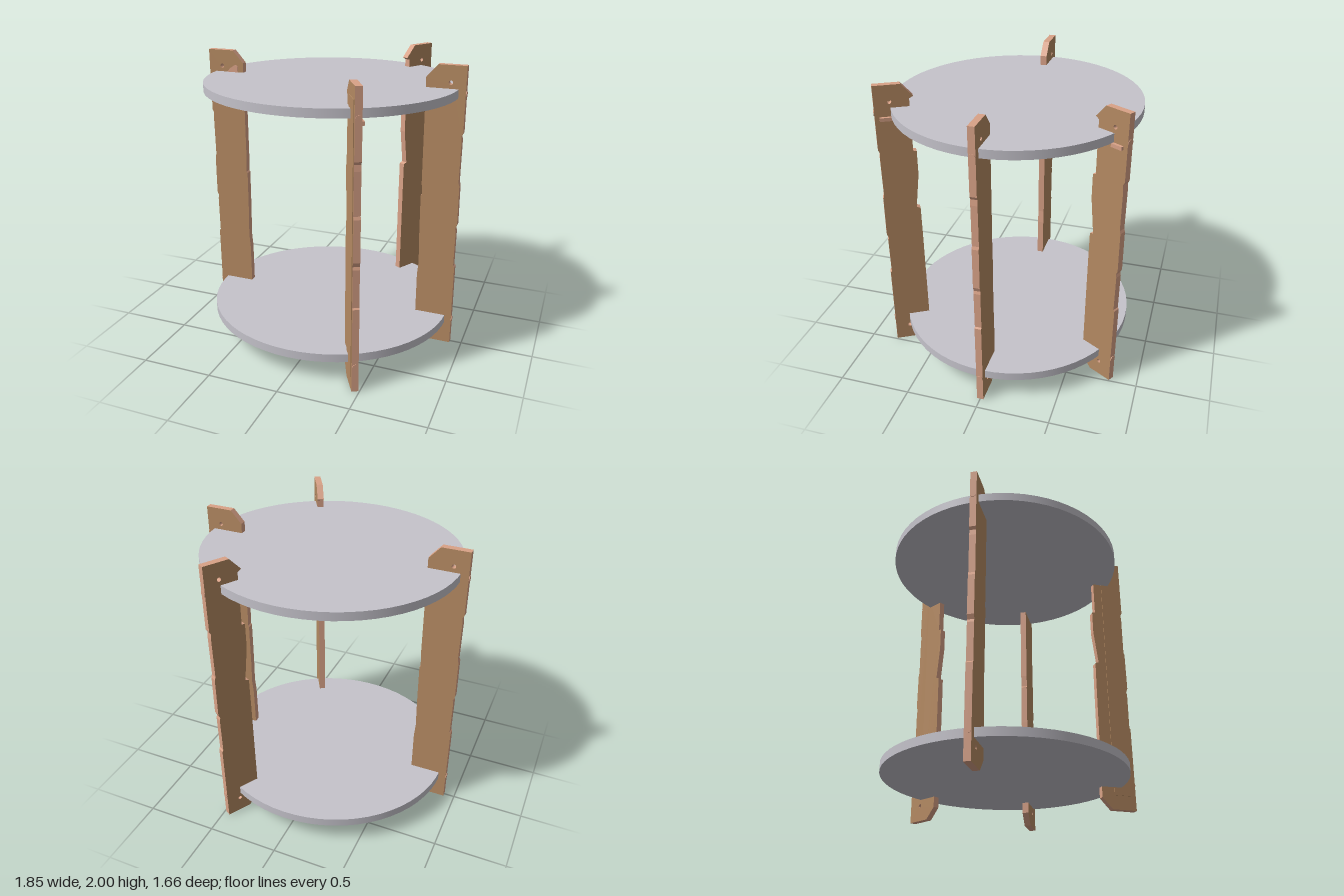
import * as THREE from 'three';

const woodFace = new THREE.MeshStandardMaterial({ color: 0xb58a62 });
woodFace.name = 'wood face';
const woodEdge = new THREE.MeshStandardMaterial({ color: 0xd9a287 });
woodEdge.name = 'cut wood edge';
const shelfGrey = new THREE.MeshStandardMaterial({ color: 0xc5c3cb });
shelfGrey.name = 'shelf grey';

const THICK = 0.045;

function add(parent, name, geometry, material, x = 0, y = 0, z = 0) {
  const mesh = new THREE.Mesh(geometry, material);
  mesh.name = name;
  mesh.position.set(x, y, z);
  parent.add(mesh);
  return mesh;
}

// Upright board: radial profile with clipped inner corners, nicked edges and two holes
function plankGeometry(inner, outer, innerNicks, outerNicks) {
  const s = new THREE.Shape();
  s.moveTo(inner + 0.075, 0);
  s.lineTo(outer, 0);
  outerNicks.forEach(([y, d]) => s.lineTo(outer - d, y));
  s.lineTo(outer, 2);
  s.lineTo(inner + 0.075, 2);
  s.lineTo(inner, 1.915);
  innerNicks.forEach(([y, d]) => s.lineTo(inner + d, y));
  s.lineTo(inner, 0.08);
  s.closePath();
  for (const y of [0.112, 1.888]) {
    const hole = new THREE.Path();
    hole.absarc(outer - 0.1, y, 0.014, 0, Math.PI * 2, true);
    s.holes.push(hole);
  }
  const g = new THREE.ExtrudeGeometry(s, { depth: THICK, bevelEnabled: false, curveSegments: 8 });
  return g.translate(0, 0, -THICK / 2);
}

// Heights go upward on the outer edge and downward on the inner edge
const outerNicks = [[0.6, 0], [0.61, 0.008], [0.87, 0.006], [0.89, 0.012], [0.92, 0],
  [1.2, 0.002], [1.22, 0.009], [1.5, 0.007], [1.54, 0.011], [1.56, 0]];
const lightNicks = [[1.2, 0.003], [1.11, 0.008], [1.1, 0], [0.8, 0.003], [0.6, 0.008], [0.5, 0]];
const deepNicks = [[1.9, 0.026], [1.535, 0.026], [1.53, 0.003], [1.36, 0.003], [1.11, 0.032], [1.1, 0.006], [0.9, 0.004]];

const planks = [
  { name: 'leftPlank', angle: 0, inner: 0.657, outer: 0.918, nicks: lightNicks },
  { name: 'rightPlank', angle: Math.PI, inner: 0.66, outer: 0.924, nicks: lightNicks },
  { name: 'frontPlank', angle: -Math.PI / 3, inner: 0.692, outer: 0.945, nicks: deepNicks, ledge: -1 },
  { name: 'backPlank', angle: Math.PI / 3, inner: 0.692, outer: 0.945, nicks: deepNicks, ledge: 1 },
];

export function createModel() {
  const model = new THREE.Group();
  model.name = 'shelfStand';

  // Two slightly oval shelves
  const disc = new THREE.CylinderGeometry(1, 1, 0.058, 64).scale(0.872, 1, 0.83);
  add(model, 'lowerShelf', disc, shelfGrey, 0, 0.185, 0);
  add(model, 'upperShelf', disc, shelfGrey, 0, 1.819, 0);

  for (const p of planks) {
    const group = new THREE.Group();
    group.name = p.name;
    group.rotation.y = p.angle;
    add(group, 'board', plankGeometry(p.inner, p.outer, p.nicks, outerNicks), [woodFace, woodEdge]);

    // Round peg ends on the outer edge
    const peg = new THREE.CylinderGeometry(0.021, 0.021, 0.02, 16).rotateZ(Math.PI / 2);
    for (const y of [0.183, 1.815]) add(group, 'pegEnd', peg, woodEdge, p.outer - 0.006, y, 0);

    // Splintered ledge under the upper shelf
    if (p.ledge) {
      add(group, 'ledge', new THREE.BoxGeometry(0.08, 0.024, 0.022), woodEdge,
        0.875, 1.777, p.ledge * (THICK / 2 + 0.009));
    }
    // Thin split layer on one face
    if (p.name === 'frontPlank') {
      add(group, 'splitLayer', new THREE.BoxGeometry(0.145, 1.82, 0.005), woodFace,
        0.855, 1.01, THICK / 2 + 0.002);
    }
    // Bare chip just above the shelf
    if (p.name === 'rightPlank') {
      const chip = new THREE.Shape([[0.70, 1.84], [0.79, 1.84], [0.76, 1.875], [0.72, 1.9], [0.70, 1.89]]
        .map(([x, y]) => new THREE.Vector2(x, y)));
      const g = new THREE.ExtrudeGeometry(chip, { depth: 0.006, bevelEnabled: false });
      add(group, 'bareChip', g, woodEdge, 0, 0, -THICK / 2 - 0.005);
    }
    model.add(group);
  }
  return model;
}
